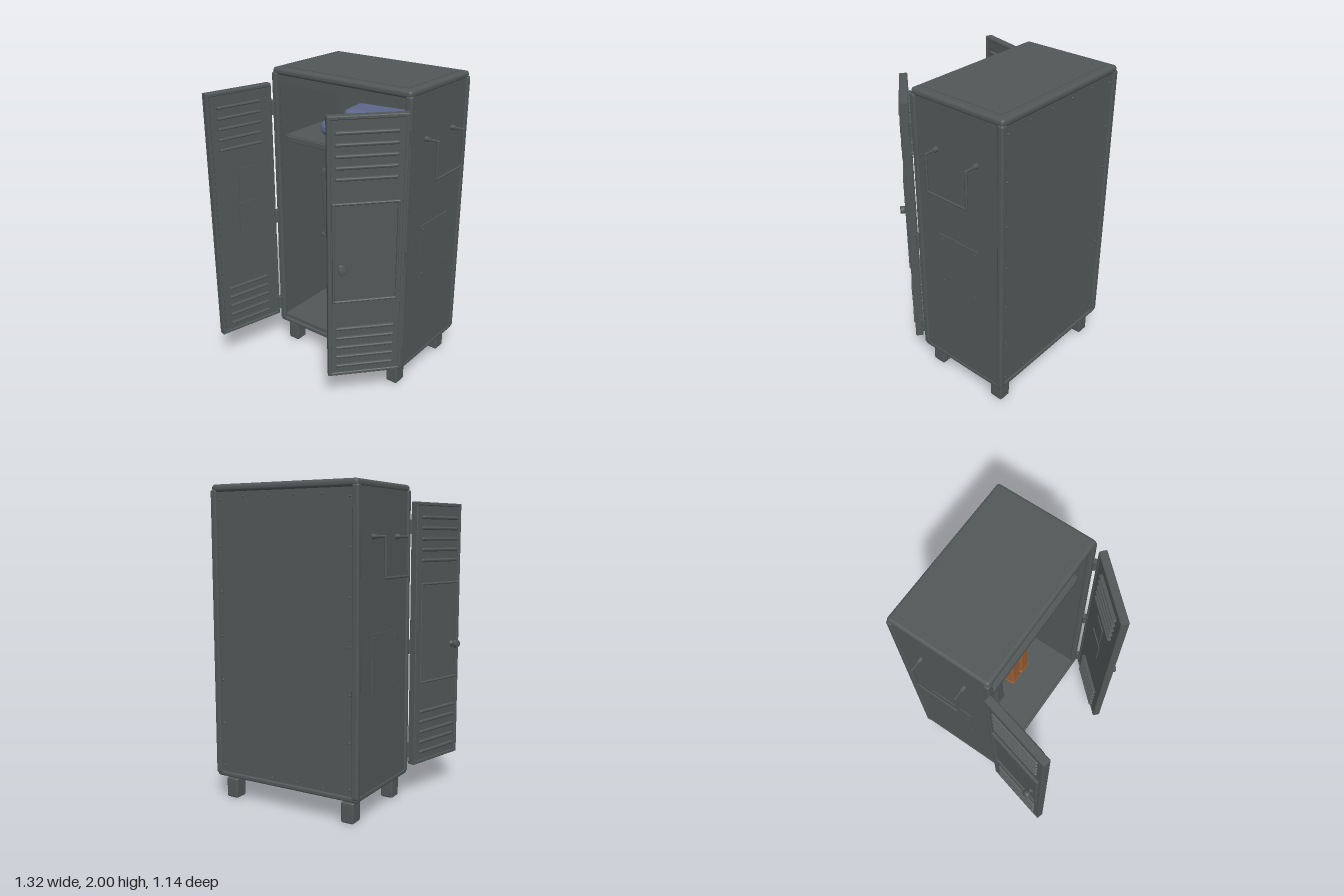
import * as THREE from 'three';
import { RoundedBoxGeometry } from 'three/addons/geometries/RoundedBoxGeometry.js';

const mat = (name, color) => Object.assign(new THREE.MeshStandardMaterial({ color }), { name });
const V = (x, y, z) => new THREE.Vector3(x, y, z);

export function createModel() {
  const metal = mat('greyMetal', 0x515757);
  const greyCloth = mat('greyCloth', 0x525757);
  const orangeCloth = mat('orangeCloth', 0x965c34);
  const blueCloth = mat('blueCloth', 0x5d6689);
  const root = new THREE.Group();
  root.name = 'locker';

  // Helpers: boxes are given by their limits on each axis
  const add = (parent, name, geo, m = metal) => {
    const mesh = new THREE.Mesh(geo, m);
    mesh.name = name;
    parent.add(mesh);
    return mesh;
  };
  const box = (parent, name, [x0, x1], [y0, y1], [z0, z1], r = 0, m = metal) => {
    const s = [x1 - x0, y1 - y0, z1 - z0];
    const mesh = add(parent, name, r ? new RoundedBoxGeometry(...s, 3, r) : new THREE.BoxGeometry(...s), m);
    mesh.position.set((x0 + x1) / 2, (y0 + y1) / 2, (z0 + z1) / 2);
    return mesh;
  };
  const tube = (parent, name, pts, r, m = metal) => {
    const path = new THREE.CurvePath();
    for (let i = 1; i < pts.length; i++) path.add(new THREE.LineCurve3(pts[i - 1], pts[i]));
    for (const p of pts) add(parent, name + 'Joint', new THREE.SphereGeometry(r, 8, 6), m).position.copy(p);
    for (const c of path.curves) add(parent, name, new THREE.TubeGeometry(c, 1, r, 8), m);
  };
  const rivet = (parent, x, y, z) =>
    add(parent, 'rivet', new THREE.SphereGeometry(0.007, 8, 6)).position.set(x, y, z);
  const frame = (parent, name, [x0, x1], [y0, y1], w, depth, z) => {
    const rect = (T, a, b, c, d) => {
      const p = new T();
      p.moveTo(a, c); p.lineTo(b, c); p.lineTo(b, d); p.lineTo(a, d); p.closePath();
      return p;
    };
    const s = rect(THREE.Shape, x0, x1, y0, y1);
    s.holes.push(rect(THREE.Path, x0 + w, x1 - w, y0 + w, y1 - w));
    const geo = new THREE.ExtrudeGeometry(s, {
      depth: depth - 0.008, bevelSize: 0.004, bevelThickness: 0.004, bevelOffset: -0.004, bevelSegments: 1 });
    add(parent, name, geo).position.z = z - depth / 2 + 0.004;
  };

  // Hollow cabinet
  const CX = 0.056;
  const cabinet = new THREE.Group();
  cabinet.name = 'cabinet';
  cabinet.position.x = CX;
  root.add(cabinet);
  box(cabinet, 'roof', [-0.517, 0.517], [1.95, 1.997], [-0.57, 0.1], 0.02);
  box(cabinet, 'roofPanel', [-0.468, 0.468], [1.99, 2.0], [-0.52, 0.05]);
  box(cabinet, 'header', [-0.49, 0.49], [1.9, 1.96], [-0.54, 0.085]);
  box(cabinet, 'base', [-0.517, 0.517], [0.147, 0.18], [-0.565, 0.1], 0.012);
  box(cabinet, 'floor', [-0.5, 0.5], [0.17, 0.205], [-0.54, 0.088]);
  box(cabinet, 'backPanel', [-0.5, 0.5], [0.17, 1.96], [-0.556, -0.53]);
  for (const s of [-1, 1]) {
    const side = (a, b) => (s > 0 ? [a, b] : [-b, -a]);
    box(cabinet, 'sideWall', side(0.483, 0.513), [0.17, 1.96], [-0.545, 0.085]);
    for (const z of [-0.552, 0.085]) {
      box(cabinet, 'cornerPost', side(0.48, 0.524), [0.165, 1.965], [z - 0.02, z + 0.018], 0.012);
    }
    for (const z of [-0.487, 0.025]) {
      box(cabinet, 'foot', side(0.388, 0.473), [0, 0.13], [z - 0.046, z + 0.046], 0.012);
      const stem = add(cabinet, 'footStem', new THREE.CylinderGeometry(0.02, 0.02, 0.04, 12));
      stem.position.set(s * 0.43, 0.135, z);
    }
    // Side name plate with rivets
    box(cabinet, 'sidePlate', side(0.511, 0.519), [0.755, 1.12], [-0.387, -0.077]);
    for (const y of [0.785, 1.09]) for (const z of [-0.36, -0.105]) rivet(cabinet, s * 0.517, y, z);
    // Drop handle
    tube(cabinet, 'handle', [V(s * 0.51, 1.68, -0.085), V(s * 0.598, 1.68, -0.085), V(s * 0.598, 1.445, -0.085),
      V(s * 0.598, 1.445, -0.385), V(s * 0.598, 1.68, -0.385), V(s * 0.51, 1.68, -0.385)], 0.0075);
    for (const z of [-0.085, -0.385]) {
      const mount = add(cabinet, 'handleMount', new THREE.CylinderGeometry(0.014, 0.017, 0.035, 12));
      mount.rotation.z = -s * Math.PI / 2;
      mount.position.set(s * 0.527, 1.68, z);
    }
    // Hinges
    for (const y of [0.3, 0.98, 1.74]) {
      const pin = add(cabinet, 'hinge', new THREE.CylinderGeometry(0.017, 0.017, 0.09, 12));
      pin.position.set(s * 0.513, y, 0.112);
    }
    for (let i = 0; i < 7; i++) rivet(cabinet, s * 0.462, 0.22 + i * 0.28, -0.556);
  }
  for (const y of [0.2, 1.92]) for (const x of [-0.28, -0.09, 0.09, 0.28]) rivet(cabinet, x, y, -0.556);

  // Shelf and hanging rail
  box(cabinet, 'shelf', [-0.485, 0.485], [1.525, 1.545], [-0.535, 0.03]);
  box(cabinet, 'shelfLip', [-0.47, 0.47], [1.502, 1.54], [0.015, 0.035], 0.005);
  tube(cabinet, 'rail', [V(-0.42, 1.415, -0.22), V(0.42, 1.415, -0.22)], 0.012);
  for (const s of [-1, 1]) box(cabinet, 'railBracket', [s * 0.45 - 0.035, s * 0.45 + 0.035], [1.4, 1.43], [-0.24, -0.2]);

  // Folded blankets
  box(root, 'lowerBlanket', [-0.245, 0.185], [1.545, 1.645], [-0.37, -0.08], 0.046, blueCloth);
  box(root, 'upperBlanket', [-0.11, 0.29], [1.645, 1.735], [-0.39, -0.16], 0.042, blueCloth).rotation.y = 0.12;

  // Doors: local x runs from the hinge, s is the local z side facing outward
  const W = 0.466;
  const door = (name, s, x, z, dx, dz) => {
    const g = new THREE.Group();
    g.name = name;
    g.position.set(x, 0, z);
    g.rotation.y = Math.atan2(-dz, dx);
    root.add(g);
    const zs = (a, b) => (s > 0 ? [a, b] : [-b, -a]);
    box(g, 'doorSlab', [0.008, W - 0.008], [0.213, 1.887], [-0.02, 0.02]);
    frame(g, 'doorRim', [0, W], [0.205, 1.895], 0.022, 0.05, 0);
    box(g, 'doorPanel', [0.05, 0.435], [0.745, 1.38], zs(0.015, 0.024));
    frame(g, 'panelFrame', [0.04, 0.44], [0.738, 1.388], 0.014, 0.022, s * 0.026);
    for (let i = 0; i < 10; i++) {
      const y = i < 5 ? 0.28 + i * 0.0675 : 1.53 + (i - 5) * 0.0675;
      box(g, 'outerLouver', [0.055, 0.42], [y - 0.01, y + 0.01], zs(0.012, 0.034), 0.008).rotation.x = s * 0.3;
      box(g, 'innerLouver', [0.095, 0.4], [y - 0.009, y + 0.009], zs(-0.044, -0.012), 0.008).rotation.x = s * 0.2;
    }
    box(g, 'upperNotice', [0.165, 0.275], [1.185, 1.385], zs(-0.027, -0.018));
    box(g, 'lowerNotice', [0.145, 0.285], [0.945, 1.145], zs(-0.027, -0.018));
    // Knob turned around its axis
    const profile = [[0, 0], [0.022, 0], [0.022, 0.008], [0.012, 0.012], [0.012, 0.026], [0.024, 0.028],
      [0.026, 0.034], [0.026, 0.054], [0.022, 0.059], [0, 0.059]].map(p => new THREE.Vector2(...p));
    const knob = add(g, 'knob', new THREE.LatheGeometry(profile, 20));
    knob.rotation.x = s * Math.PI / 2;
    knob.position.set(0.385, 0.97, s * 0.02);
  };
  door('rightDoor', 1, -0.487, 0.108, -0.24, 0.97);
  door('leftDoor', -1, 0.59, 0.137, -0.674, 0.739);

  // Hanging overalls
  const cloth = (parent, name, pts, depth, m, mirror = 1) => {
    const list = pts.map(([x, y]) => new THREE.Vector2(x * mirror, y));
    const b = 0.018;
    const geo = new THREE.ExtrudeGeometry(new THREE.Shape(list), {
      depth: depth - 2 * b, bevelSize: b, bevelThickness: b, bevelOffset: -b, bevelSegments: 3 });
    add(parent, name, geo, m).position.z = -depth / 2 + b;
  };
  const overalls = (name, x, m) => {
    const g = new THREE.Group();
    g.name = name;
    g.position.set(x, 0, -0.22);
    root.add(g);
    cloth(g, 'torso', [[-0.105, 0.76], [0.105, 0.76], [0.135, 1.15], [0.1, 1.32], [0.055, 1.385],
      [-0.055, 1.385], [-0.1, 1.32], [-0.135, 1.15]], 0.11, m);
    box(g, 'belt', [-0.105, 0.105], [0.75, 0.775], [-0.054, 0.058], 0.006, m);
    box(g, 'zip', [-0.006, 0.006], [0.775, 1.3], [0.05, 0.059], 0, m);
    box(g, 'collar', [-0.07, 0.07], [1.295, 1.36], [-0.06, 0.066], 0.015, m);
    box(g, 'seat', [-0.06, 0.06], [0.6, 0.76], [-0.03, 0.02], 0, m);
    for (const s of [-1, 1]) {
      const xs = (a, b) => (s > 0 ? [a, b] : [-b, -a]);
      cloth(g, 'sleeve', [[0.11, 0.78], [0.185, 0.78], [0.207, 1.25], [0.19, 1.275], [0.15, 1.275], [0.135, 1.25]],
        0.085, m, s);
      box(g, 'cuff', xs(0.11, 0.205), [0.765, 0.792], [-0.046, 0.046], 0.008, m);
      box(g, 'sleeveCrease', xs(0.155, 0.161), [0.85, 1.18], [0.036, 0.045], 0, m);
      box(g, 'pocket', xs(0.028, 0.11), [1.135, 1.2], [0.05, 0.061], 0, m);
      box(g, 'leg', xs(0.012, 0.1), [0.225, 0.765], [-0.045, 0.045], 0.018, m);
      box(g, 'hem', xs(0.008, 0.104), [0.215, 0.24], [-0.048, 0.048], 0.008, m);
      box(g, 'legCrease', xs(0.053, 0.059), [0.29, 0.74], [0.04, 0.048], 0, m);
    }
    // Hanger with hook over the rail
    tube(g, 'hanger', [V(-0.1, 1.335, 0), V(0, 1.395, 0), V(0.1, 1.335, 0)], 0.007);
    const hook = new THREE.CatmullRomCurve3([V(0, 1.39, 0), V(0, 1.42, 0.018), V(0.01, 1.447, 0.012),
      V(0.018, 1.46, -0.005), V(0.022, 1.445, -0.02)]);
    add(g, 'hangerHook', new THREE.TubeGeometry(hook, 16, 0.005, 8));
  };
  overalls('greyOveralls', -0.1, greyCloth);
  overalls('orangeOveralls', 0.216, orangeCloth);

  return root;
}
